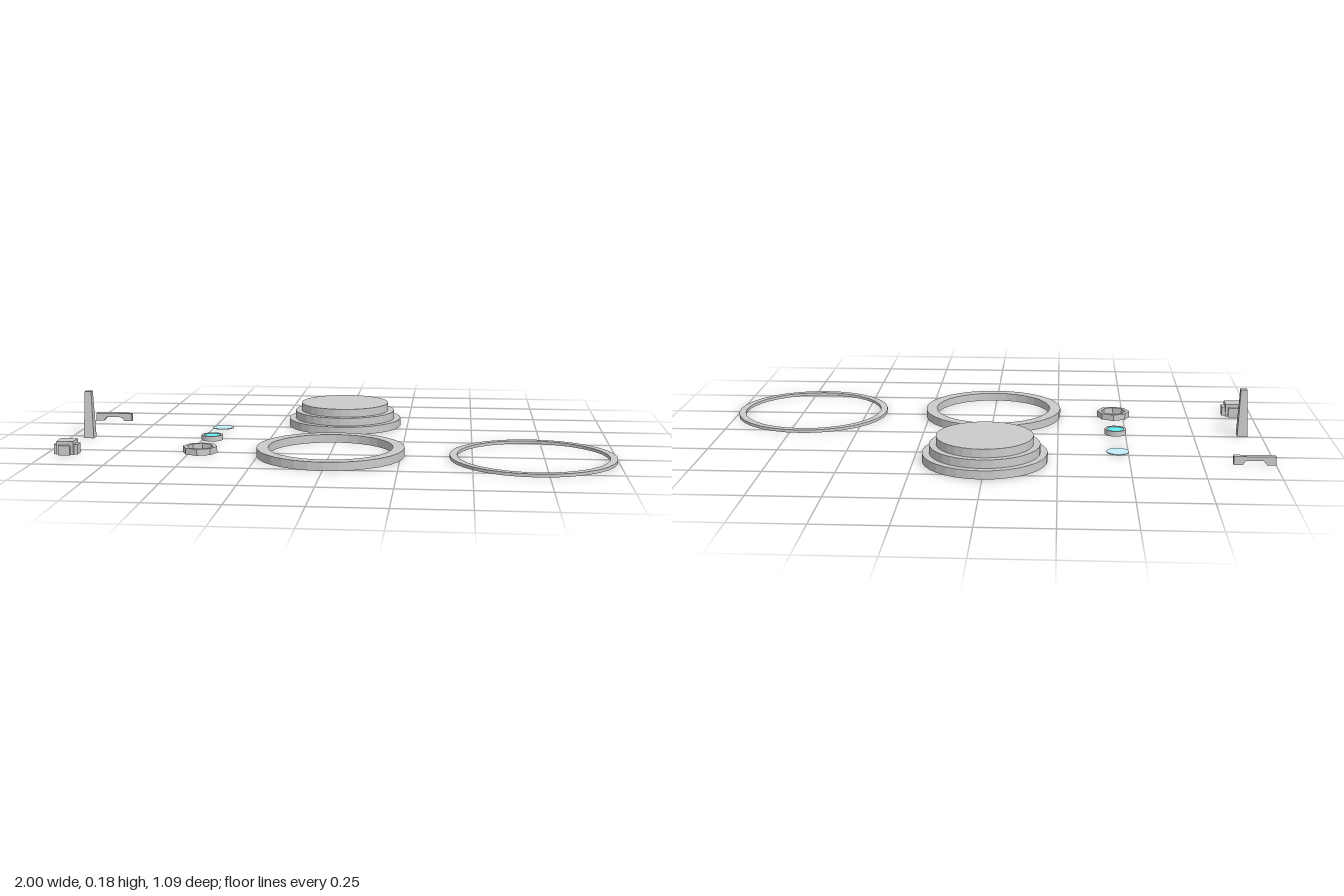
import * as THREE from 'three';

const grey = new THREE.MeshStandardMaterial({ color: 0xcccccc, flatShading: true });
const paleBlue = new THREE.MeshStandardMaterial({ color: 0xc4eefa, flatShading: true });
const teal = new THREE.MeshStandardMaterial({ color: 0x62f0f2, flatShading: true });

function add(parent, name, geometry, x, y, z, material = grey) {
  const mesh = new THREE.Mesh(geometry, material);
  mesh.name = name;
  mesh.position.set(x, y, z);
  parent.add(mesh);
  return mesh;
}

const lathe = (points, sides) =>
  new THREE.LatheGeometry(points.map(([r, y]) => new THREE.Vector2(r, y)), sides);

// Flat ring with a rectangular section
const ring = (inner, outer, h, sides) =>
  lathe([[inner, 0], [outer, 0], [outer, h], [inner, h], [inner, 0]], sides);

function subgroup(parent, name, x, z) {
  const group = new THREE.Group();
  group.name = name;
  group.position.set(x, 0, z);
  parent.add(group);
  return group;
}

export function createModel() {
  const model = new THREE.Group();
  model.name = 'ringKit';

  // Three-step round platform
  const platform = subgroup(model, 'platform', 0.003, -0.328);
  [0.219, 0.194, 0.17].forEach((r, i) =>
    add(platform, `platformStep${i + 1}`, new THREE.CylinderGeometry(r, r, 0.03, 32), 0, 0.015 + i * 0.03, 0));

  // Rings
  add(model, 'largeRing', ring(0.22, 0.261, 0.03, 32), 0.003, 0, 0.256);
  add(model, 'thinRing', ring(0.264, 0.29, 0.011, 32), 0.71, 0, 0.257);
  add(model, 'smallRing', ring(0.047, 0.0615, 0.023, 8), -0.463, 0, 0.256);

  // Shallow cup with a coloured inset
  const button = subgroup(model, 'button', -0.463, 0.021);
  add(button, 'buttonCup', lathe([[0, 0], [0.04, 0], [0.04, 0.019], [0.031, 0.019], [0.031, 0.012], [0, 0.012]], 24), 0, 0, 0);
  add(button, 'buttonInset', new THREE.CylinderGeometry(0.031, 0.031, 0.004, 24), 0, 0.015, 0, teal);

  // Thin pale disc
  add(model, 'lensDisc', new THREE.CylinderGeometry(0.04, 0.04, 0.003, 24), -0.463, 0.0015, -0.212, paleBlue);

  // Tapered square pillar
  const pillar = new THREE.CylinderGeometry(0.024 / Math.SQRT2, 0.038 / Math.SQRT2, 0.176, 4).rotateY(Math.PI / 4);
  add(model, 'pillar', pillar, -0.929, 0.088, 0.022);

  // Cube with a panel standing out on each side
  const block = subgroup(model, 'block', -0.929, 0.313);
  add(block, 'blockBody', new THREE.BoxGeometry(0.06, 0.048, 0.06), 0, 0.024, 0);
  for (let i = 0; i < 4; i++) {
    const a = (i * Math.PI) / 2;
    const panel = add(block, 'blockPanel', new THREE.BoxGeometry(0.04, 0.035, 0.0125),
      Math.sin(a) * 0.03625, 0.0175, Math.cos(a) * 0.03625);
    panel.rotation.y = a;
  }

  // Small bridge bar: flat top, slanted recess below
  const outline = new THREE.Shape([
    [-0.0725, 0], [-0.042, 0], [-0.03, 0.015], [0.03, 0.015],
    [0.042, 0], [0.0725, 0], [0.0725, 0.03], [-0.0725, 0.03],
  ].map(([x, y]) => new THREE.Vector2(x, y)));
  const bar = new THREE.ExtrudeGeometry(outline, { depth: 0.022, bevelEnabled: false }).translate(0, 0, -0.011);
  add(model, 'bridgeBar', bar, -0.9275, 0, -0.33);

  return model;
}
